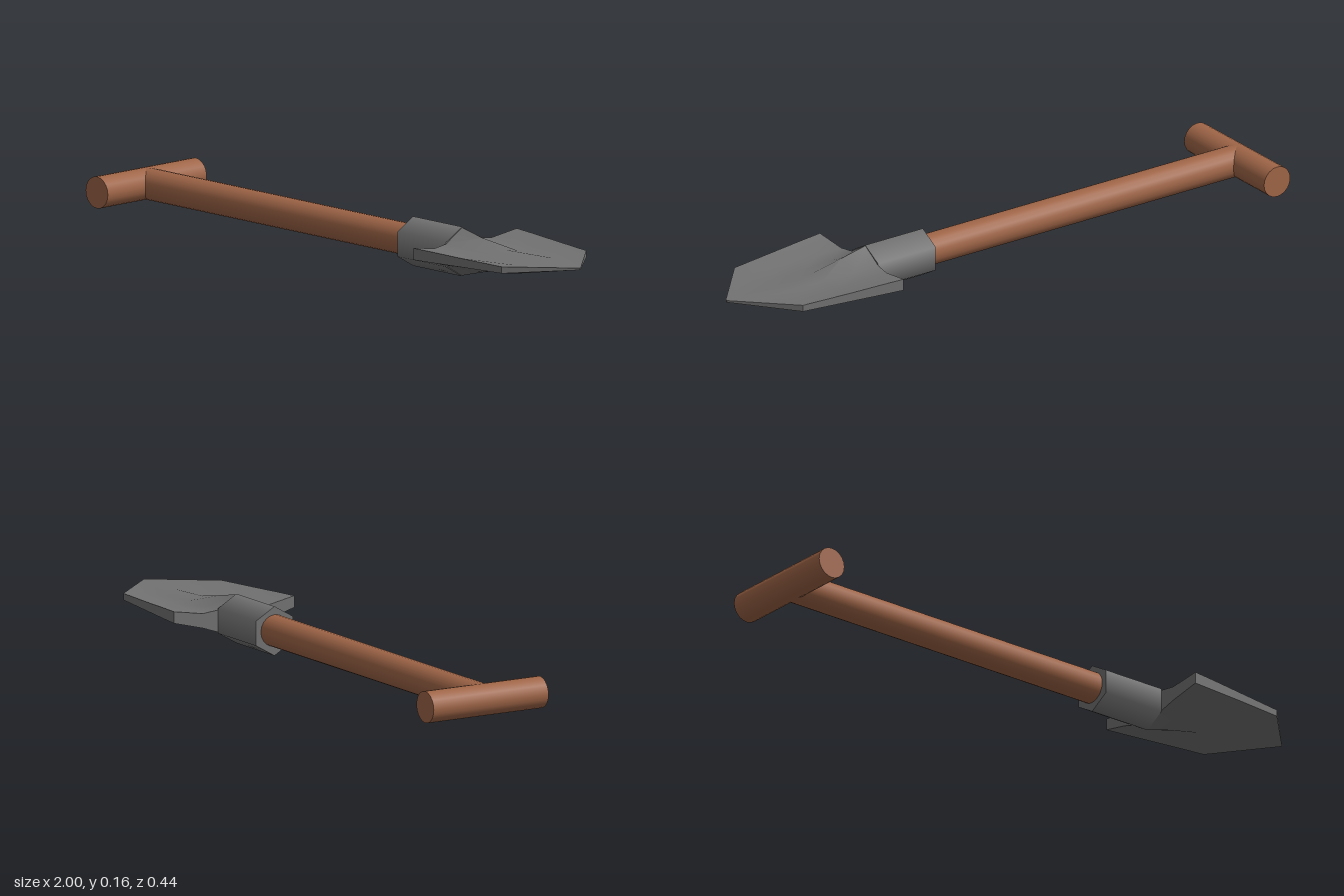
import * as THREE from 'three';
import { toCreasedNormals } from 'three/addons/utils/BufferGeometryUtils.js';

// Skin closed loops of points (each loop runs over the top, then back underneath)
function loft(loops) {
  const n = loops[0].length, index = [];
  for (let s = 0; s < loops.length - 1; s++) {
    for (let i = 0; i < n; i++) {
      const j = (i + 1) % n;
      const a = s * n + i, b = s * n + j, c = a + n, d = b + n;
      index.push(a, b, c, b, d, c);
    }
  }
  // End caps join each top point to the one below it
  const last = (loops.length - 1) * n;
  for (let i = 0; i < n / 2 - 1; i++) {
    const k = n - 1 - i;
    index.push(i, k, i + 1, i + 1, k, k - 1);
    index.push(last + i, last + i + 1, last + k, last + i + 1, last + k - 1, last + k);
  }
  const g = new THREE.BufferGeometry();
  g.setAttribute('position', new THREE.Float32BufferAttribute(loops.flat(2), 3));
  g.setIndex(index);
  return toCreasedNormals(g, 0.7);
}

export function createModel() {
  const wood = new THREE.MeshStandardMaterial({ color: 0x9f6547 });
  wood.name = 'brown wood';
  const steel = new THREE.MeshStandardMaterial({ color: 0x727272 });
  steel.name = 'grey steel';

  const model = new THREE.Group();
  model.name = 'shovel';
  const add = (name, geometry, material) => {
    const mesh = new THREE.Mesh(geometry, material);
    mesh.name = name;
    model.add(mesh);
    return mesh;
  };

  // Wooden cross grip and shaft
  const grip = add('grip', new THREE.CylinderGeometry(0.05, 0.05, 0.42, 20), wood);
  grip.rotation.x = Math.PI / 2;
  grip.position.set(-0.95, 0.08, 0);
  const shaft = add('shaft', new THREE.CylinderGeometry(0.05, 0.05, 1.25, 20), wood);
  shaft.rotation.z = Math.PI / 2;
  shaft.position.set(-0.325, 0.08, 0);

  // Six-sided socket, with ridges at top and bottom
  const socketGeometry = new THREE.CylinderGeometry(0.078, 0.078, 0.22, 6)
    .rotateY(Math.PI / 6).rotateZ(Math.PI / 2);
  socketGeometry.rotateX(Math.PI / 6);
  socketGeometry.computeBoundingBox();
  // Turn the corners to the top if they point sideways
  if (socketGeometry.boundingBox.max.y < 0.075) socketGeometry.rotateX(Math.PI / 6);
  const socket = add('socket', socketGeometry, steel);
  socket.position.set(0.36, 0.078, 0);

  // Blade sections: x, rear slant, then z, top and bottom from centre to edge
  const sections = [
    [0.465, 0.018, [0, 0.067, 0.12, 0.22], [0.155, 0.112, 0.106, 0.122], [0.001, 0.042, 0.06, 0.085]],
    [0.56, 0, [0, 0.06, 0.12, 0.212], [0.135, 0.106, 0.104, 0.12], [0.026, 0.048, 0.062, 0.086]],
    [0.67, 0, [0, 0.05, 0.12, 0.2], [0.113, 0.103, 0.103, 0.116], [0.05, 0.058, 0.068, 0.088]],
    [0.838, 0, [0, 0.05, 0.11, 0.18], [0.106, 0.104, 0.105, 0.111], [0.072, 0.075, 0.08, 0.09]],
    [1, 0, [0, 0.001, 0.002, 0.003], [0.106, 0.106, 0.106, 0.106], [0.1, 0.1, 0.1, 0.1]],
  ];
  const across = [-3, -2, -1, 0, 1, 2, 3];
  const loops = sections.map(([x, slant, z, top, bottom]) => {
    const row = (heights) => across.map((k) => {
      const i = Math.abs(k);
      return [x + slant * z[i] / z[3], heights[i], Math.sign(k) * z[i]];
    });
    return [...row(top), ...row(bottom).reverse()];
  });
  add('blade', loft(loops), steel);

  return model;
}
